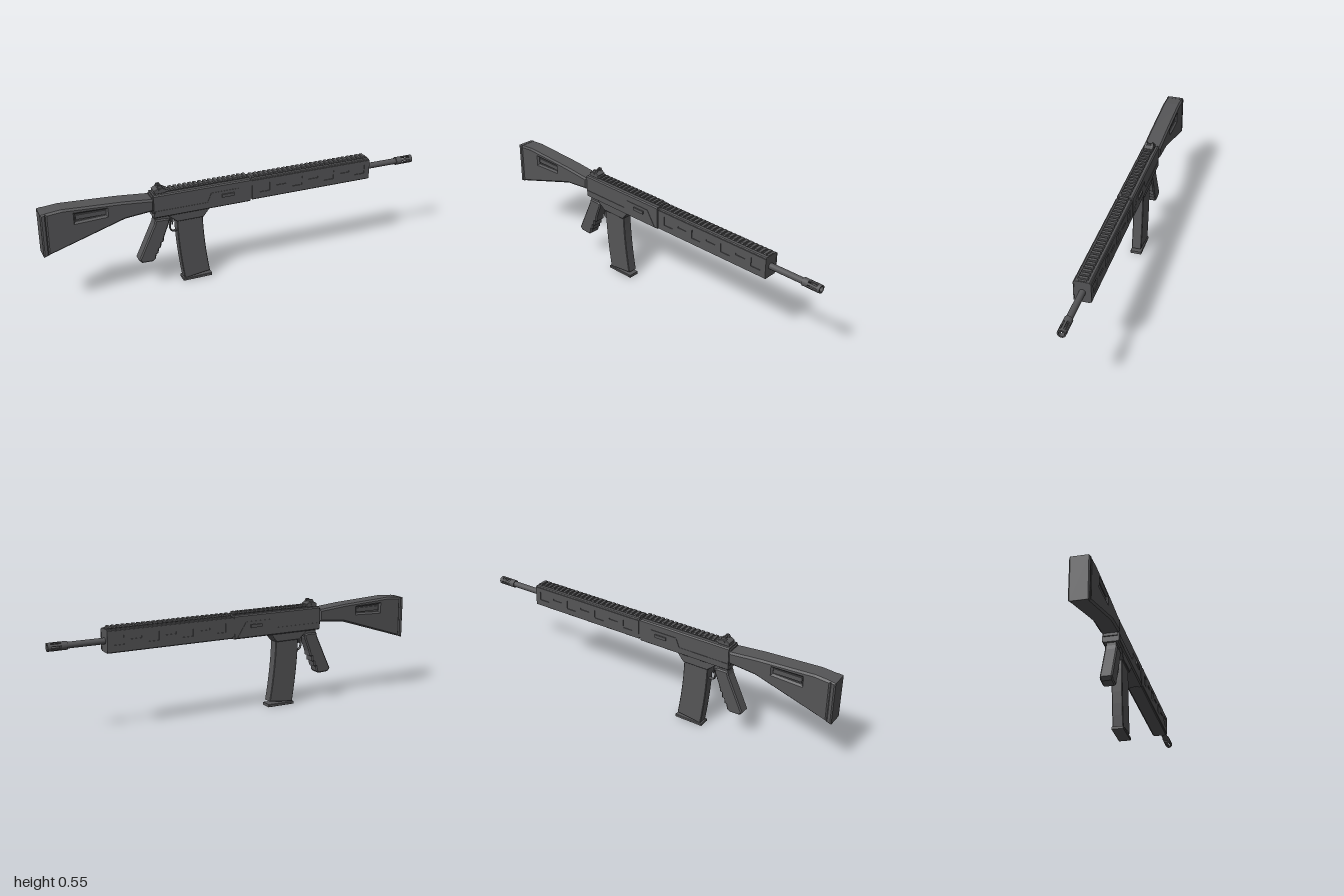
import * as THREE from 'three';
import { toCreasedNormals } from 'three/addons/utils/BufferGeometryUtils.js';

export function createModel() {
  const model = new THREE.Group();
  const gunmetal = new THREE.MeshStandardMaterial({ color: 0x555557 });
  gunmetal.name = 'gunmetal';

  const add = (name, geometry, parent = model) => {
    const mesh = new THREE.Mesh(geometry, gunmetal);
    mesh.name = name;
    parent.add(mesh);
    return mesh;
  };
  const group = (name) => {
    const g = new THREE.Group();
    g.name = name;
    model.add(g);
    return g;
  };
  const toShape = (points, holes = []) => {
    const shape = new THREE.Shape(points.map(([x, y]) => new THREE.Vector2(x, y)));
    for (const h of holes) shape.holes.push(new THREE.Path(h.map(([x, y]) => new THREE.Vector2(x, y))));
    return shape;
  };
  // Side profile extruded to +-half in z, with a chamfer
  const prism = (points, half, bevel = 0, holes = []) => {
    const g = new THREE.ExtrudeGeometry(toShape(points, holes), {
      depth: 2 * (half - bevel), bevelEnabled: bevel > 0, bevelSize: bevel,
      bevelThickness: bevel, bevelOffset: -bevel, bevelSegments: 1, steps: 1,
    });
    return g.translate(0, 0, -(half - bevel));
  };
  // Cross-section (z, y) extruded along x
  const along = (points, x0, x1) =>
    new THREE.ExtrudeGeometry(toShape(points), { depth: x1 - x0, bevelEnabled: false })
      .rotateY(Math.PI / 2).translate(x0, 0, 0);
  const rect = (x0, x1, y0, y1) => [[x0, y0], [x1, y0], [x1, y1], [x0, y1]];
  const box = (x0, x1, y0, y1, half) =>
    new THREE.BoxGeometry(x1 - x0, y1 - y0, 2 * half).translate((x0 + x1) / 2, (y0 + y1) / 2, 0);
  const octagon = (h, y0, y1, c) => [
    [-h + c, y0], [h - c, y0], [h, y0 + c], [h, y1 - c],
    [h - c, y1], [-h + c, y1], [-h, y1 - c], [-h, y0 + c]];

  // Stock with recessed side slots and a butt pad
  const stock = group('stock');
  add('stockBody', prism(
    [[-0.978, 0.297], [-0.6, 0.416], [-0.455, 0.43], [-0.455, 0.492], [-0.61, 0.506], [-0.9, 0.521], [-0.978, 0.514]],
    0.047, 0.009,
    [[[-0.838, 0.447], [-0.838, 0.488], [-0.69, 0.484], [-0.69, 0.453]]]), stock);
  add('stockSlotFloor', box(-0.845, -0.68, 0.435, 0.498, 0.03), stock);
  add('stockSlotBar', box(-0.835, -0.69, 0.456, 0.479, 0.037), stock);
  add('buttPad', prism([[-1, 0.29], [-0.975, 0.298], [-0.975, 0.515], [-1, 0.511]], 0.047, 0.006), stock);

  // Receiver
  const receiver = group('receiver');
  add('receiverBody', along(octagon(0.041, 0.387, 0.508, 0.006), -0.455, 0.05), receiver);
  add('stockCollar', box(-0.462, -0.45, 0.415, 0.5, 0.034), receiver);
  add('handguardJoint', box(0.045, 0.062, 0.4, 0.5, 0.036), receiver);
  add('sidePanels', prism(
    [[-0.45, 0.393], [0.035, 0.393], [-0.015, 0.472], [-0.16, 0.472], [-0.18, 0.425], [-0.45, 0.425]], 0.043), receiver);
  add('sideTabs', box(-0.105, -0.04, 0.44, 0.456, 0.05), receiver);
  add('magazineWell', prism([[-0.39, 0.392], [-0.337, 0.346], [-0.199, 0.346], [-0.163, 0.392]], 0.035, 0.003), receiver);

  // Toothed top rails
  const dovetail = (y) => [
    [-0.018, y], [0.018, y], [0.025, y + 0.006], [0.021, y + 0.012], [-0.021, y + 0.012], [-0.025, y + 0.006]];
  const rail = (name, x0, x1, deck, top, count) => {
    const r = group(name);
    add('railBase', box(x0, x1, deck - 0.004, top - 0.008, 0.018), r);
    const pitch = (x1 - x0) / count;
    for (let i = 0; i < count; i++) {
      const x = x0 + i * pitch;
      add('railTooth', along(dovetail(top - 0.012), x, x + pitch * 0.58), r);
    }
  };
  rail('receiverRail', -0.415, 0.05, 0.508, 0.522, 18);
  rail('handguardRail', 0.062, 0.72, 0.503, 0.516, 25);

  // Rear sight
  const sight = group('rearSight');
  add('sightBase', prism([[-0.447, 0.508], [-0.385, 0.508], [-0.385, 0.526], [-0.402, 0.535], [-0.43, 0.535], [-0.447, 0.525]], 0.025, 0.002), sight);
  for (const z of [-0.017, 0.017]) {
    add('sightEar', prism([[-0.431, 0.533], [-0.398, 0.533], [-0.408, 0.548], [-0.422, 0.548]], 0.005).translate(0, 0, z), sight);
  }
  add('sightBlade', box(-0.419, -0.411, 0.533, 0.543, 0.014), sight);
  add('sightKnob', new THREE.CylinderGeometry(0.007, 0.007, 0.056, 10).rotateX(Math.PI / 2).translate(-0.416, 0.525, 0), sight);

  // Handguard with shallow recesses in its side skins
  const handguard = group('handguard');
  add('handguardCore', along(octagon(0.038, 0.392, 0.505, 0.004), 0.062, 0.722), handguard);
  const recesses = [];
  for (let i = 0; i < 7; i++) {
    const x = 0.1 + i * 0.09;
    recesses.push(i % 2 ? rect(x, x + 0.055, 0.452, 0.462) : rect(x, x + 0.055, 0.43, 0.476));
  }
  for (const side of [-1, 1]) {
    add('handguardSkin', prism(rect(0.06, 0.724, 0.398, 0.499), 0.002, 0, recesses).translate(0, 0, side * 0.04), handguard);
  }

  // Barrel and slotted muzzle device
  const ring = (outer, inner, x0, x1) => toCreasedNormals(
    new THREE.LatheGeometry([[inner, x0], [outer, x0], [outer, x1], [inner, x1], [inner, x0]]
      .map(([r, x]) => new THREE.Vector2(r, x)), 18).rotateZ(-Math.PI / 2).translate(0, 0.447, 0), 0.6);
  const rod = (r, x0, x1) => new THREE.CylinderGeometry(r, r, x1 - x0, 18)
    .rotateZ(-Math.PI / 2).translate((x0 + x1) / 2, 0.447, 0);
  add('barrel', rod(0.0155, 0.715, 0.93));
  const muzzle = group('muzzleDevice');
  add('muzzleCollar', ring(0.0205, 0.006, 0.905, 0.936), muzzle);
  add('muzzleRing', ring(0.0205, 0.0135, 0.984, 1), muzzle);
  for (let i = 0; i < 6; i++) {
    add('muzzleProng', new THREE.BoxGeometry(0.056, 0.006, 0.011).translate(0.96, 0.017, 0)
      .rotateX(i * Math.PI / 3).translate(0, 0.447, 0), muzzle);
  }

  // Pistol grip with finger grooves
  const grip = group('grip');
  add('gripBody', prism([
    [-0.522, 0.149], [-0.466, 0.147], [-0.452, 0.158], [-0.447, 0.184], [-0.437, 0.187], [-0.433, 0.212],
    [-0.422, 0.216], [-0.42, 0.242], [-0.408, 0.246], [-0.405, 0.27], [-0.376, 0.345], [-0.374, 0.363],
    [-0.39, 0.37], [-0.447, 0.37], [-0.452, 0.348], [-0.537, 0.165]], 0.03, 0.006), grip);
  add('gripMount', box(-0.443, -0.37, 0.355, 0.392, 0.024), grip);

  // Trigger guard and trigger
  const guardPath = new THREE.CatmullRomCurve3(
    [[-0.362, 0.39], [-0.364, 0.34], [-0.363, 0.295], [-0.352, 0.284], [-0.328, 0.284]]
      .map(([x, y]) => new THREE.Vector3(x, y, 0)));
  add('triggerGuard', new THREE.TubeGeometry(guardPath, 20, 0.004, 6).scale(1, 1, 2.5));
  add('trigger', prism([[-0.356, 0.355], [-0.346, 0.355], [-0.35, 0.325], [-0.355, 0.318]], 0.006));

  // Curved magazine
  const magazine = group('magazine');
  const rear = [], front = [];
  for (let i = 0; i <= 6; i++) {
    const t = i / 6;
    rear.push([-0.335 + 0.033 * t ** 1.7, 0.36 - 0.347 * t]);
    front.unshift([-0.2 + 0.034 * t ** 1.7, 0.36 - 0.33 * t]);
  }
  add('magazineBody', prism([...rear, ...front], 0.026, 0.003), magazine);
  add('magazineFloorPlate', prism([[-0.31, 0], [-0.157, 0.001], [-0.157, 0.016], [-0.31, 0.013]], 0.03, 0.002), magazine);

  return model;
}
